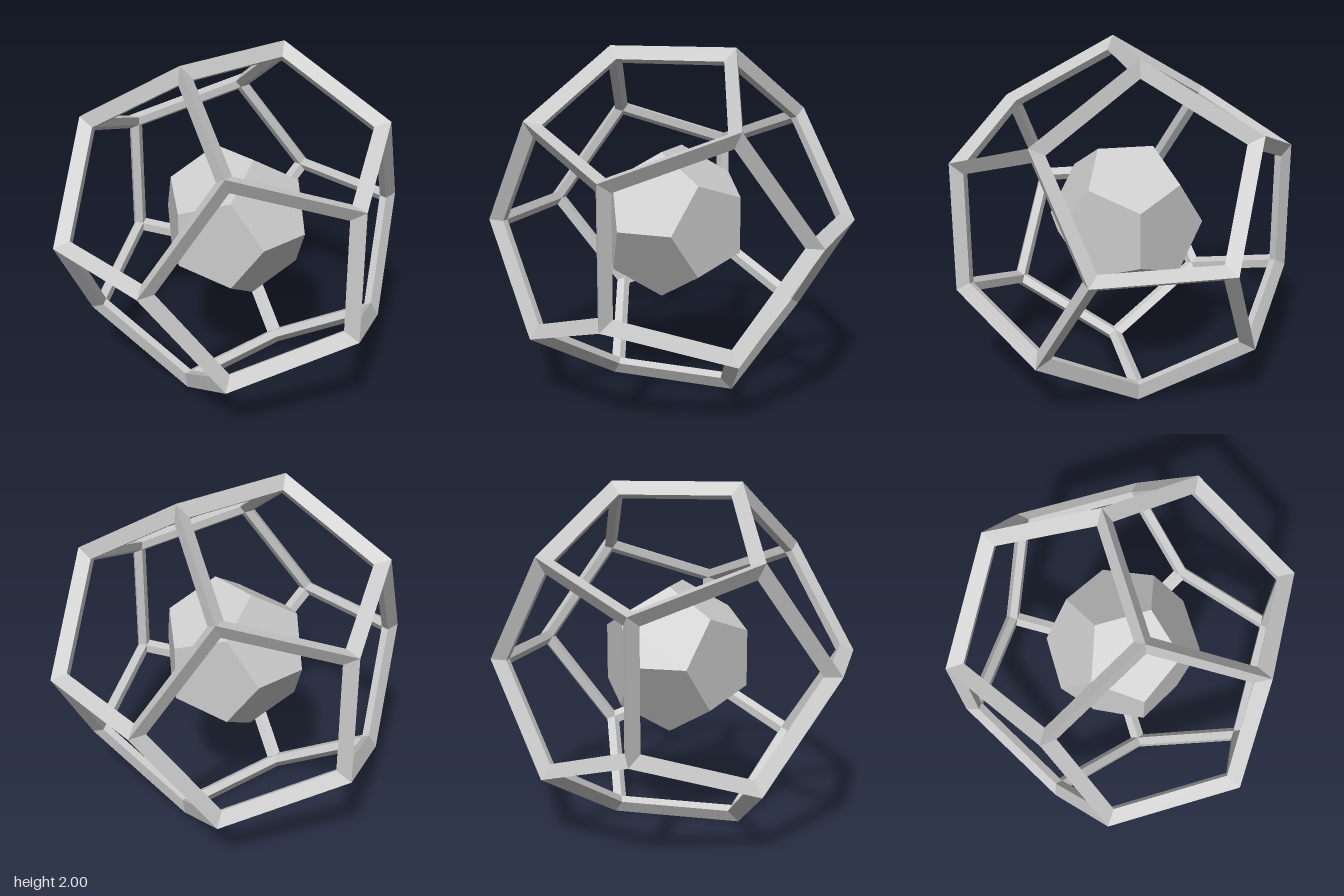
import * as THREE from 'three';

const PHI = (1 + Math.sqrt(5)) / 2;
const SIGNS = [[1, 1], [1, -1], [-1, 1], [-1, -1]];

// All sign variants and cyclic permutations of (a, 0, b)
function cyclic(a, b) {
  return SIGNS.flatMap(([s, t]) => [
    new THREE.Vector3(s * a, 0, t * b),
    new THREE.Vector3(t * b, s * a, 0),
    new THREE.Vector3(0, t * b, s * a),
  ]);
}

// Corners of a dodecahedron whose outermost edges lie at distance 1
function dodecahedronCorners() {
  const c = 1 / PHI;
  const corners = cyclic(c * c, 1);
  for (const x of [c, -c]) for (const [s, t] of SIGNS) corners.push(new THREE.Vector3(x, s * c, t * c));
  return corners;
}

// The five corners of the face with normal n, counter-clockwise from outside
function faceCorners(corners, n) {
  const ring = [...corners].sort((p, q) => q.dot(n) - p.dot(n)).slice(0, 5);
  const u = ring[0].clone().addScaledVector(n, -ring[0].dot(n)).normalize();
  const v = n.clone().cross(u);
  const angle = (p) => Math.atan2(p.dot(v), p.dot(u));
  return ring.sort((p, q) => angle(p) - angle(q));
}

// Open frame: every edge is a bar with a kite-shaped section, mitred at the corners
function frameGeometry() {
  const corners = dodecahedronCorners();
  const positions = [];
  const quad = (a, b, c, d) => [a, b, c, a, c, d].forEach((p) => positions.push(p.x, p.y, p.z));

  for (const normal of cyclic(PHI, 1)) {
    // cyclic(PHI, 1) gives (b,0,a), (a,b,0), (0,a,b) with b > a: the face normals
    const outer = faceCorners(corners, normal.normalize());
    const centre = outer.reduce((s, p) => s.add(p), new THREE.Vector3()).divideScalar(5);
    const rim = outer.map((p) => p.clone().lerp(centre, 0.1).multiplyScalar(0.95));
    const inner = outer.map((p) => p.clone().multiplyScalar(0.9));
    for (let i = 0; i < 5; i++) {
      const j = (i + 1) % 5;
      quad(outer[i], outer[j], rim[j], rim[i]);
      quad(rim[i], rim[j], inner[j], inner[i]);
    }
  }
  const geometry = new THREE.BufferGeometry();
  geometry.setAttribute('position', new THREE.Float32BufferAttribute(positions, 3));
  geometry.computeVertexNormals();
  return geometry;
}

export function createModel() {
  const model = new THREE.Group();
  model.name = 'nestedDodecahedra';
  const material = new THREE.MeshStandardMaterial({ color: 0xcccccc, flatShading: true });

  const frame = new THREE.Mesh(frameGeometry(), material);
  frame.name = 'outerFrame';

  // Solid core, turned a quarter relative to the frame
  const core = new THREE.Mesh(new THREE.DodecahedronGeometry(0.45), material);
  core.name = 'innerCore';

  for (const part of [frame, core]) {
    part.position.y = 1;
    model.add(part);
  }
  return model;
}
